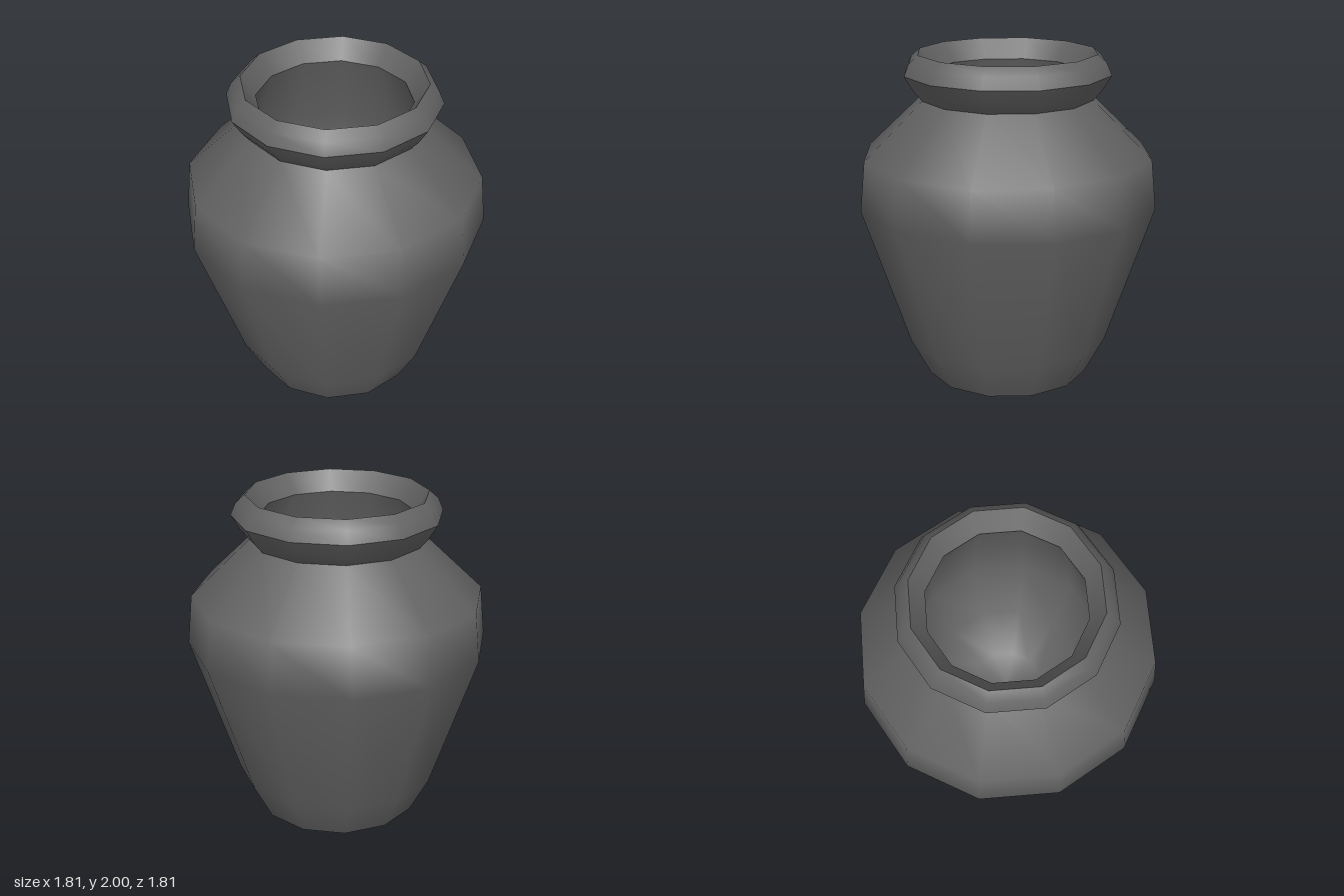
import * as THREE from 'three';

const SIDES = 12;

export function createModel() {
  const group = new THREE.Group();
  group.name = 'vase';
  const material = new THREE.MeshStandardMaterial({ color: 0x636363, side: THREE.DoubleSide });

  // One turned band; normals are smooth inside a band and sharp between bands.
  // Points run up the outside, over the rim and down the inside.
  const turn = (name, points) => {
    const profile = points.map(([r, y]) => new THREE.Vector2(r, y));
    const mesh = new THREE.Mesh(new THREE.LatheGeometry(profile, SIDES), material);
    mesh.name = name;
    group.add(mesh);
  };

  // Outer shell, open at the foot
  turn('body', [[0.5, 0], [0.62, 0.23], [0.905, 1.09], [0.875, 1.39], [0.52, 1.73]]);
  turn('lipUnderside', [[0.52, 1.73], [0.57, 1.79], [0.625, 1.88]]);
  turn('lipOutside', [[0.625, 1.88], [0.594, 1.952], [0.54, 2]]);
  turn('lipInside', [[0.54, 2], [0.455, 1.88]]);
  // Hollow that widens slightly below the neck and ends in a rounded bowl
  turn('interior', [
    [0.455, 1.88], [0.58, 1.45], [0.6, 1.1], [0.46, 0.72], [0.22, 0.55], [0, 0.53],
  ]);

  return group;
}
